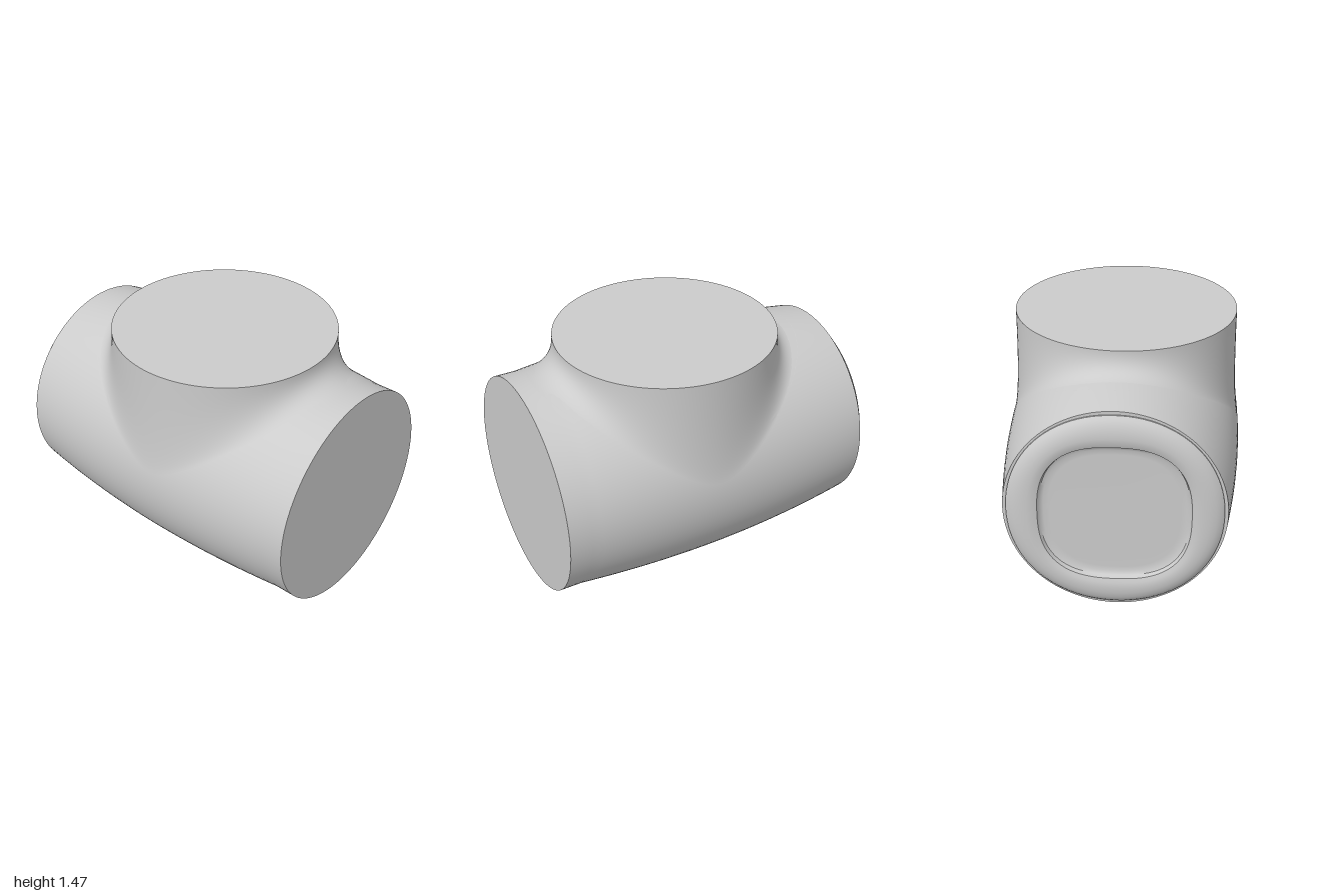
import * as THREE from 'three';
import { toCreasedNormals } from 'three/addons/utils/BufferGeometryUtils.js';

const AXIS_Y = 0.69;   // height of the barrel axis
const NECK_Z = 0.07;   // centre of the neck and of the barrel's bulge
const NECK_R = 0.65;
const TOP_Y = 1.475;

// Barrel radius along z: gentle bulge with a straight collar at the front
function barrelRadius(z) {
  if (z > 0.87) return 0.65;
  const d = z - NECK_Z;
  return 0.69 - (d > 0 ? 0.0625 : 0.072) * d * d;
}

// Closed loft: point(row, angle) gives a Vector3, rows run from base to tip
function loft(point, rows, cols) {
  const positions = [], index = [];
  for (let r = 0; r < rows; r++) {
    for (let c = 0; c < cols; c++) {
      positions.push(...point(r, (c / cols) * Math.PI * 2).toArray());
    }
  }
  for (let r = 0; r < rows - 1; r++) {
    for (let c = 0; c < cols; c++) {
      const n = (c + 1) % cols;
      const a = r * cols + c, b = r * cols + n;
      index.push(a, b, a + cols, b + cols, a + cols, b);
    }
  }
  const g = new THREE.BufferGeometry();
  g.setAttribute('position', new THREE.Float32BufferAttribute(positions, 3));
  g.setIndex(index);
  return g;
}

export function createModel() {
  const group = new THREE.Group();
  const material = new THREE.MeshStandardMaterial({ color: 0xcccccc });
  const add = (name, geometry, crease = 0.6) => {
    const mesh = new THREE.Mesh(toCreasedNormals(geometry, crease), material);
    mesh.name = name;
    group.add(mesh);
    return mesh;
  };

  // Barrel: bulging body of revolution, closed at both ends
  const profile = [new THREE.Vector2(0, -0.95)];
  for (let i = 0; i <= 28; i++) {
    const z = -0.95 + (1.82 * i) / 28;
    profile.push(new THREE.Vector2(barrelRadius(z), z));
  }
  profile.push(new THREE.Vector2(0.65, 1), new THREE.Vector2(0, 1));
  const barrel = new THREE.LatheGeometry(profile, 96);
  barrel.rotateX(Math.PI / 2);
  barrel.translate(0, AXIS_Y, 0);
  add('barrel', barrel);

  // Neck: each rib leaves the top rim vertically and lands tangent to the barrel
  const steps = 20;
  const neckPoint = (row, angle) => {
    if (row > steps) return new THREE.Vector3(0, TOP_Y, NECK_Z);
    const s = Math.sin(angle), c = Math.cos(angle);
    const rim = new THREE.Vector3(NECK_R * s, TOP_Y, NECK_Z + NECK_R * c);
    const footZ = NECK_Z + 0.83 * c;
    const R = barrelRadius(footZ);
    const sinPhi = 0.985 * s, cosPhi = Math.sqrt(1 - sinPhi * sinPhi);
    const foot = new THREE.Vector3(R * sinPhi, AXIS_Y + R * cosPhi, footZ);
    const bend = new THREE.Vector3(rim.x, AXIS_Y + (R - rim.x * sinPhi) / cosPhi, rim.z);
    return new THREE.QuadraticBezierCurve3(foot, bend, rim).getPoint(row / steps);
  };
  add('neck', loft(neckPoint, steps + 2, 128));

  // Back cap: rounded squarish rim around a dished recess
  // Each ring: half width, superellipse exponent, height above the barrel end
  const rings = [
    [0.595, 2.08, -0.01], [0.595, 2.08, 0.008], [0.578, 2.1, 0.024], [0.55, 2.15, 0.038],
    [0.515, 2.25, 0.047], [0.475, 2.4, 0.05], [0.445, 2.5, 0.047], [0.42, 2.6, 0.038],
    [0.41, 2.65, 0.015], [0.39, 2.65, 0.002], [0.36, 2.6, -0.006], [0.33, 2.6, -0.008], [0, 2, -0.008],
  ];
  const capPoint = (row, angle) => {
    const [half, n, h] = rings[row];
    const s = Math.sin(angle), c = Math.cos(angle);
    const r = half / Math.pow(Math.abs(s) ** n + Math.abs(c) ** n, 1 / n);
    return new THREE.Vector3(r * s, h, r * c);
  };
  // Open the barrel's end wall beneath the recess by lifting the floor clear of it
  rings.forEach((ring, i) => { if (i > 7) ring[2] = Math.max(ring[2], 0.004 + (12 - i) * 0.0005); });
  const cap = loft(capPoint, rings.length, 96);
  cap.rotateX(-Math.PI / 2);
  cap.translate(0, AXIS_Y, -0.95);
  add('backCap', cap, 0.75);

  return group;
}
